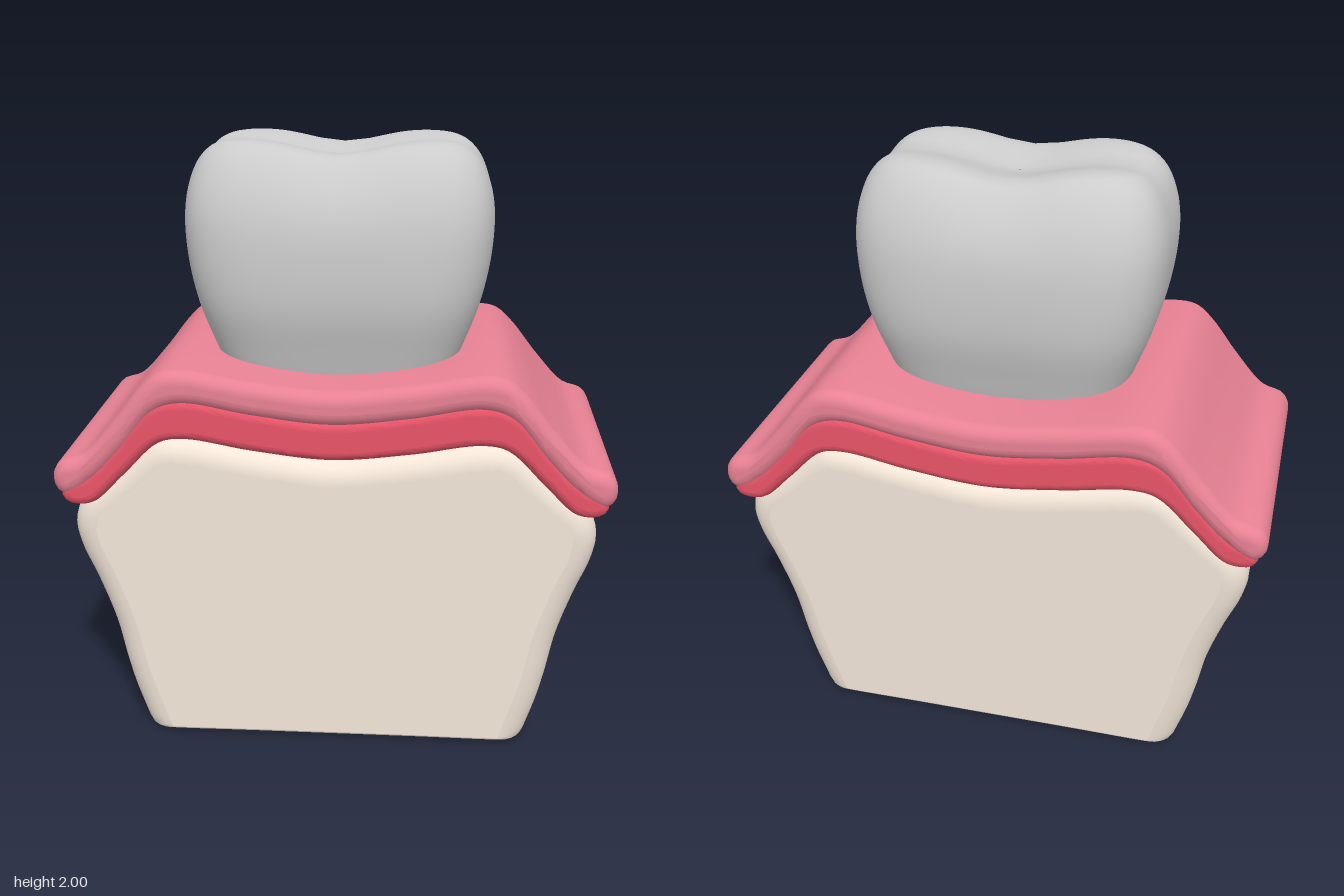
import * as THREE from 'three';
import { toCreasedNormals } from 'three/addons/utils/BufferGeometryUtils.js';

// Closed smooth outline from its +x half, listed from x = 0 round to x = 0
function mirroredOutline(half, samples) {
  const left = half.slice(1, -1).reverse().map(([x, y]) => [-x, y]);
  const points = [...half, ...left].map(([x, y]) => new THREE.Vector3(x, y, 0));
  const curve = new THREE.CatmullRomCurve3(points, true, 'centripetal');
  const loop = curve.getSpacedPoints(samples).slice(0, -1);
  return new THREE.Shape(loop.map((p) => new THREE.Vector2(p.x, p.y)));
}

// Extrude along z with rounded rims; halfDepth(y) tapers it, mapY reshapes heights
function roundedSlab(half, bevel, halfDepth, mapY = (y) => y) {
  const geo = new THREE.ExtrudeGeometry(mirroredOutline(half, 180), {
    depth: 2 * (0.5 - bevel), steps: 1, bevelEnabled: true, bevelSegments: 6,
    bevelSize: bevel, bevelThickness: bevel, bevelOffset: -bevel,
  });
  geo.translate(0, 0, bevel - 0.5);
  const pos = geo.attributes.position;
  for (let i = 0; i < pos.count; i++) {
    const y = mapY(pos.getY(i));
    pos.setY(i, y);
    pos.setZ(i, pos.getZ(i) * 2 * halfDepth(y));
  }
  const caps = geo.groups[0];
  const out = toCreasedNormals(geo, 0.7);
  // keep the flat front and back evenly shaded
  for (let i = caps.start; i < caps.start + caps.count; i++) {
    out.attributes.normal.setXYZ(i, 0, 0, Math.sign(out.attributes.position.getZ(i)));
  }
  return out;
}

// Stack of squarish rings [y, half width, half depth], with heights bent by warp
function loftRings(rows, segments, exponent, warp) {
  const curve = new THREE.CatmullRomCurve3(rows.map((r) => new THREE.Vector3(r[1], r[0], r[2])));
  const rings = curve.getPoints(60);
  const positions = [], index = [];
  const power = (v) => Math.sign(v) * Math.abs(v) ** (2 / exponent);
  rings.forEach((r, i) => {
    for (let j = 0; j < segments; j++) {
      const a = (j / segments) * Math.PI * 2;
      const x = r.x * power(Math.cos(a)), z = r.z * power(Math.sin(a));
      positions.push(x, warp(x, r.y, z), z);
      if (i === rings.length - 1) continue;
      const k = (j + 1) % segments;
      const p = i * segments + j, q = i * segments + k;
      index.push(p, p + segments, q, q, p + segments, q + segments);
    }
  });
  const geo = new THREE.BufferGeometry();
  geo.setAttribute('position', new THREE.Float32BufferAttribute(positions, 3));
  geo.setIndex(index);
  geo.computeVertexNormals();
  return geo;
}

export function createModel() {
  const model = new THREE.Group();
  const add = (name, geometry, color) => {
    const mesh = new THREE.Mesh(geometry, new THREE.MeshStandardMaterial({ color }));
    mesh.name = name;
    model.add(mesh);
    return mesh;
  };

  // Jaw bone block: flaring sides, sloped shoulders, nearly sharp base
  const bone = [
    [0, 0], [0.3, 0], [0.58, 0], [0.62, 0.02], [0.645, 0.08], [0.7, 0.22], [0.74, 0.42],
    [0.79, 0.58], [0.835, 0.7], [0.848, 0.79], [0.82, 0.87], [0.7, 0.98], [0.57, 1.09],
    [0.49, 1.1], [0.25, 1.06], [0, 1.03],
  ];
  const sharpenBase = (y) => (y < 0.08 ? y * 0.25 : y < 0.24 ? 0.02 + (y - 0.08) * 1.375 : y);
  add('jawBone', roundedSlab(bone, 0.08, (y) => 0.4 + 0.066 * y, sharpenBase), 0xf3e6d8)
    .position.z = 0.008;

  // Small openings in the two bone sides
  for (const side of [1, -1]) {
    const hole = add('boneOpening', new THREE.SphereGeometry(1, 16, 10), 0x444444);
    hole.scale.set(0.006, 0.01, 0.025);
    hole.position.set(side * 0.677, 0.157, 0.01);
  }

  // Inner gum layer
  const innerGum = [
    [0, 1.04], [0.25, 1.065], [0.47, 1.1], [0.55, 1.085], [0.67, 0.97], [0.77, 0.875],
    [0.83, 0.865], [0.865, 0.88], [0.875, 0.91], [0.85, 0.945], [0.79, 0.97], [0.7, 1.06],
    [0.57, 1.21], [0.47, 1.235], [0.25, 1.2], [0, 1.17],
  ];
  add('innerGum', roundedSlab(innerGum, 0.03, (y) => 0.475 + 0.05 * (y - 0.9)), 0xe85468);

  // Outer gum layer with a rolled lip at each end
  const outerGum = [
    [0, 1.155], [0.25, 1.18], [0.47, 1.215], [0.55, 1.19], [0.66, 1.06], [0.75, 0.965],
    [0.83, 0.905], [0.87, 0.9], [0.896, 0.93], [0.896, 0.98], [0.87, 1.015], [0.8, 1.04],
    [0.7, 1.145], [0.6, 1.27], [0.54, 1.32], [0.47, 1.33], [0.25, 1.295], [0, 1.27],
  ];
  add('outerGum', roundedSlab(outerGum, 0.045, (y) => 0.482 + 0.05 * (y - 0.9)), 0xe88294);

  // Tooth crown: bulging body, hollowed chewing surface with four cusps
  const crown = [
    [1.18, 0.35, 0.26], [1.33, 0.41, 0.305], [1.48, 0.463, 0.345], [1.62, 0.492, 0.354],
    [1.76, 0.5, 0.342], [1.86, 0.485, 0.312], [1.94, 0.452, 0.268], [1.985, 0.405, 0.225],
    [2.0, 0.34, 0.185], [2.0, 0.17, 0.09], [2.0, 0.001, 0.001],
  ];
  const hollow = (x, y, z) => y - THREE.MathUtils.smoothstep(y, 1.65, 2)
    * (0.045 * Math.exp(-((x / 0.17) ** 2)) + 0.025 * Math.exp(-((z / 0.1) ** 2)));
  add('toothCrown', loftRings(crown, 96, 3.8, hollow), 0xcccccc).position.z = 0.003;

  return model;
}
